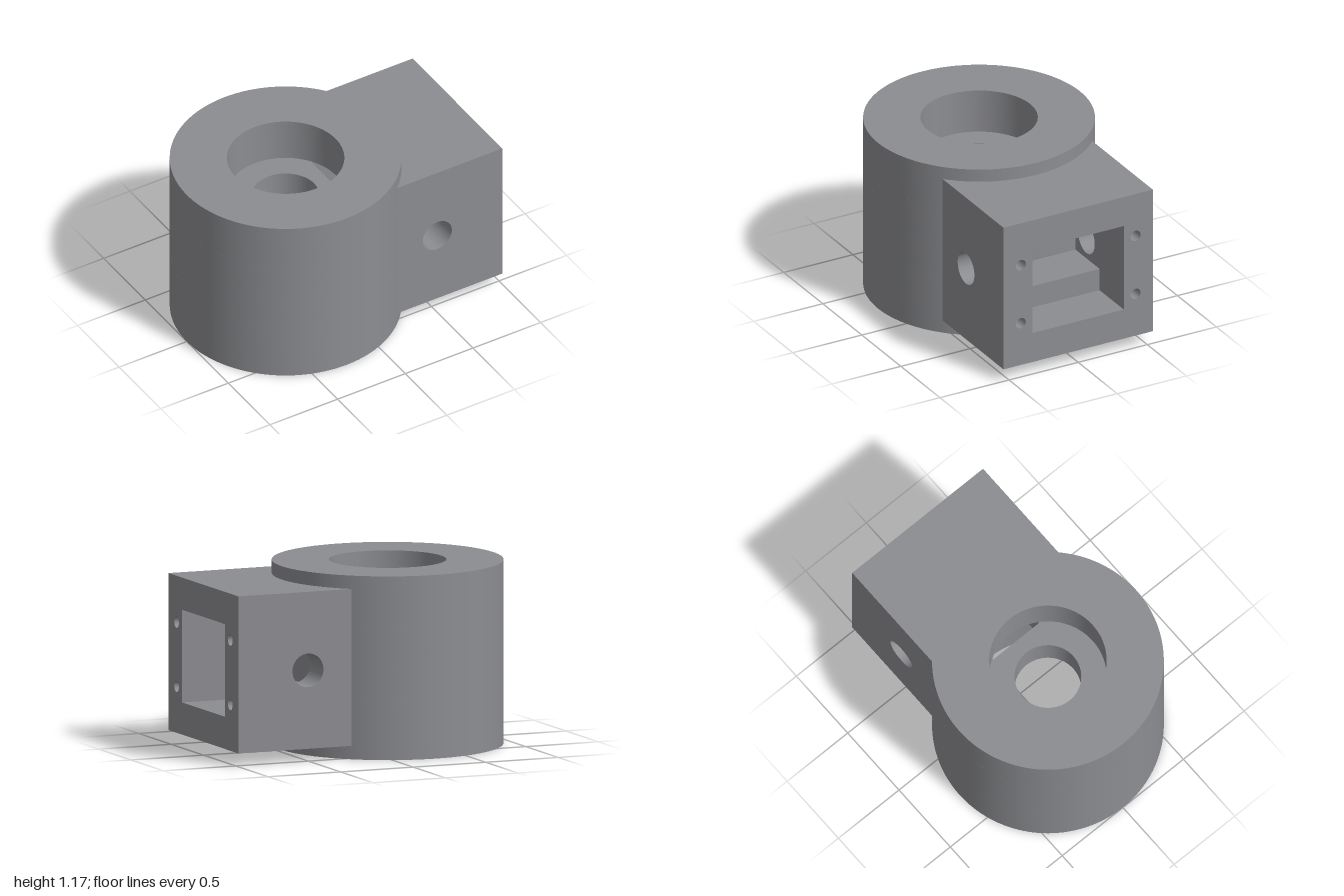
import * as THREE from 'three';
import { toCreasedNormals } from 'three/addons/utils/BufferGeometryUtils.js';

const CX = -0.27, R = 0.73;          // sleeve axis and radius
const POCKET = 0.33;                 // pocket half width
const BACK = 0.38;                   // x of the pocket's back wall
const Y0 = 0.085, Y1 = 1.085;        // block bottom and top
const P0 = 0.29, P1 = 0.88;          // pocket bottom and top

function circlePath(x, y, r) {
  return new THREE.Path().absarc(x, y, r, 0, Math.PI * 2, true);
}

function rect(x0, y0, x1, y1, Type = THREE.Shape) {
  return new Type([[x0, y0], [x1, y0], [x1, y1], [x0, y1]].map(p => new THREE.Vector2(...p)));
}

function extrude(shape, depth) {
  return new THREE.ExtrudeGeometry(shape, { depth, bevelEnabled: false, curveSegments: 72 });
}

// Round sleeve outline; optionally flattened at the pocket and slotted
function sleeveShape(bore, flat, slot) {
  const s = new THREE.Shape();
  const a = flat ? Math.asin(POCKET / R) : 0;
  s.absarc(CX, 0, R, a, Math.PI * 2 - a, false);
  if (slot) {
    s.lineTo(BACK, -0.19);
    s.lineTo(0.04, -0.19);
    s.lineTo(0.04, 0.19);
    s.lineTo(BACK, 0.19);
  }
  s.holes.push(circlePath(CX, 0, bore));
  return s;
}

export function createModel() {
  const group = new THREE.Group();
  const metal = new THREE.MeshStandardMaterial({ color: 0x8c8d91 });
  metal.name = 'greyMetal';

  function add(name, geometry) {
    const mesh = new THREE.Mesh(toCreasedNormals(geometry, 0.5), metal);
    mesh.name = name;
    group.add(mesh);
    return mesh;
  }

  // Sleeve layers: wide lower bore, inner ledge, upper counterbore
  const layers = [
    ['lowerSleeve', 0, 0.44, sleeveShape(0.58, false, false)],
    ['middleSleeve', 0.44, 0.65, sleeveShape(0.58, true, false)],
    ['innerLedge', 0.65, P1, sleeveShape(0.21, true, true)],
    ['upperSleeve', P1, 1.17, sleeveShape(0.37, false, false)],
  ];
  for (const [name, bottom, top, shape] of layers) {
    const g = extrude(shape, top - bottom);
    g.rotateX(-Math.PI / 2);
    add(name, g).position.y = bottom;
  }

  // End frame with the pocket opening and four blind screw holes
  const frameX = 0.8;
  const frame = rect(-0.54, Y0, 0.54, Y1);
  frame.holes.push(rect(-POCKET, P0, POCKET, P1, THREE.Path));
  for (const z of [-0.415, 0.415])
    for (const y of [0.38, 0.79]) frame.holes.push(circlePath(z, y, 0.036));
  const frameGeometry = extrude(frame, 1 - frameX);
  frameGeometry.rotateY(Math.PI / 2);
  add('endFrame', frameGeometry).position.x = frameX;

  // Side walls with the cross hole
  for (const [name, z] of [['frontWall', POCKET], ['backWall', -0.54]]) {
    const wall = rect(0.215, Y0, frameX, Y1);
    wall.holes.push(circlePath(0.52, 0.585, 0.107));
    add(name, extrude(wall, 0.54 - POCKET)).position.z = z;
  }

  // Pocket floor, ceiling and raised step
  const slabs = [
    ['pocketFloor', Y0, P0, frameX],
    ['pocketCeiling', P1, Y1, frameX],
    ['pocketStep', P0, 0.44, 0.69],
  ];
  for (const [name, bottom, top, end] of slabs)
    add(name, extrude(rect(0.35, bottom, end, top), POCKET * 2)).position.z = -POCKET;

  return group;
}
